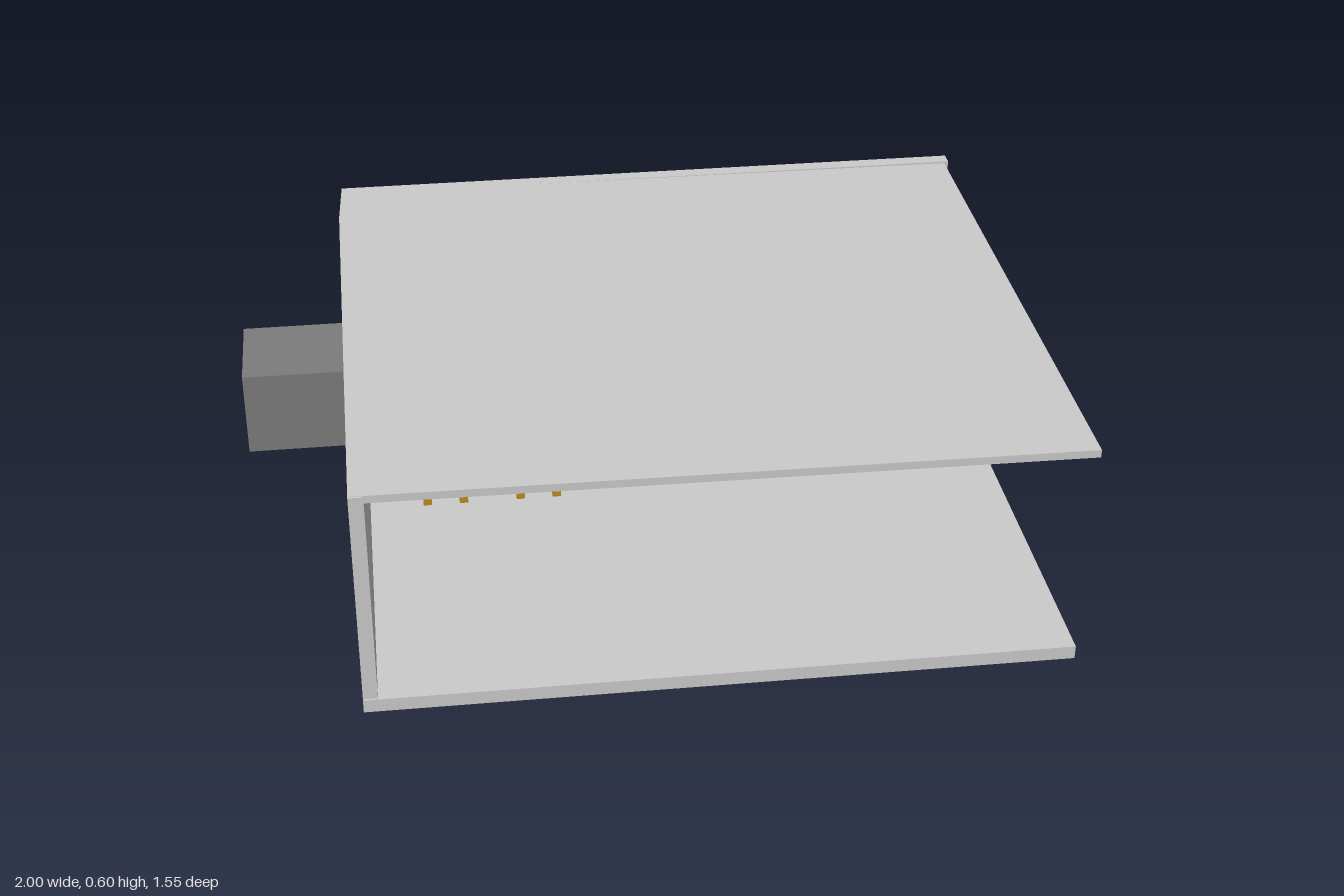
import * as THREE from 'three';

const mats = {};
const mat = (c) => (mats[c] ??= new THREE.MeshStandardMaterial({ color: c, side: THREE.DoubleSide }));
const GREY = 0xcccccc, DARK = 0x7c7c7c, BLACK = 0x111111, RED = 0xd01018, GOLD = 0xc08a1a;

function add(parent, name, geo, color) {
  const m = new THREE.Mesh(geo, mat(color));
  m.name = name;
  parent.add(m);
  return m;
}

// Box given by its limits on each axis
function box(parent, name, color, x0, x1, y0, y1, z0, z1) {
  const m = add(parent, name, new THREE.BoxGeometry(x1 - x0, y1 - y0, z1 - z0), color);
  m.position.set((x0 + x1) / 2, (y0 + y1) / 2, (z0 + z1) / 2);
  return m;
}

// Upright prism over a plan outline of [x, z] points
function slab(parent, name, color, pts, y0, y1) {
  const shape = new THREE.Shape(pts.map(([x, z]) => new THREE.Vector2(x, -z)));
  const geo = new THREE.ExtrudeGeometry(shape, { depth: y1 - y0, bevelEnabled: false });
  geo.rotateX(-Math.PI / 2).translate(0, y0, 0);
  return add(parent, name, geo, color);
}

function group(parent, name, x = 0, y = 0, z = 0) {
  const g = new THREE.Group();
  g.name = name;
  g.position.set(x, y, z);
  parent.add(g);
  return g;
}

// Straight pipes with ball joints at the bends
function pipe(parent, name, pts, r) {
  const v = pts.map((p) => new THREE.Vector3(...p));
  for (let i = 0; i < v.length - 1; i++) {
    const d = v[i + 1].clone().sub(v[i]);
    const m = add(parent, name, new THREE.CylinderGeometry(r, r, d.length(), 12), BLACK);
    m.position.copy(v[i]).addScaledVector(d, 0.5);
    m.quaternion.setFromUnitVectors(new THREE.Vector3(0, 1, 0), d.normalize());
    if (i) add(parent, name + 'Joint', new THREE.SphereGeometry(r, 12, 8), BLACK).position.copy(v[i]);
  }
}

function addShell(root) {
  const g = group(root, 'room');
  slab(g, 'floor', GREY, [[-0.72, 0.765], [0.985, 0.77], [0.985, -0.745], [-0.7, -0.745]], 0, 0.035);
  slab(g, 'roof', GREY, [[-0.72, 0.755], [0.985, 0.775], [0.985, -0.728], [-0.7, -0.742]], 0.58, 0.6);
  slab(g, 'sideWall', GREY, [[-0.72, 0.76], [-0.685, 0.76], [-0.675, -0.742], [-0.705, -0.78], [-0.715, -0.6]], 0, 0.599);
  box(g, 'backWall', GREY, -0.705, 1, 0, 0.598, -0.78, -0.742);
}

// Ceiling lights: shallow trays with long louvres
function addLights(root) {
  for (const x of [-0.365, 0.077, 0.46]) for (const z of [0.262, -0.14, -0.51]) {
    const g = group(root, 'ceilingLight', x, 0.565, z);
    box(g, 'lightBack', DARK, -0.134, 0.134, 0.01, 0.016, -0.065, 0.065);
    for (const s of [-1, 1]) {
      box(g, 'lightEnd', GREY, s * 0.13 - 0.004, s * 0.13 + 0.004, 0, 0.015, -0.065, 0.065);
      box(g, 'lightSide', GREY, -0.134, 0.134, 0, 0.015, s * 0.061 - 0.004, s * 0.061 + 0.004);
    }
    for (const dz of [-0.03, 0, 0.03])
      box(g, 'louvre', GREY, -0.13, 0.13, 0.002, 0.012, dz - 0.006, dz + 0.006);
  }
}

// Doorway tunnel through the side wall, with a windowed door
function addDoorway(root) {
  const g = group(root, 'doorway');
  box(g, 'tunnelTop', DARK, -1, -0.59, 0.248, 0.26, -0.625, -0.36);
  box(g, 'tunnelBase', DARK, -1, -0.59, 0.025, 0.038, -0.625, -0.36);
  box(g, 'tunnelEnd', DARK, -1, -0.99, 0.025, 0.26, -0.625, -0.36);
  for (const z of [-0.625, -0.372]) {
    box(g, 'tunnelSide', DARK, -1, -0.59, 0.025, 0.26, z, z + 0.012);
  }
  for (const z of [-0.614, -0.38])
    box(g, 'doorTrack', BLACK, -0.615, -0.594, 0.038, 0.25, z, z + 0.009);
  for (let i = 0; i < 3; i++) {
    const z = -0.606 + i * 0.077;
    box(g, 'doorWindow', 0xc8c86a, -0.61, -0.605, 0.19, 0.248, z, z + 0.071);
    if (i) box(g, 'windowBar', BLACK, -0.612, -0.6, 0.19, 0.248, z - 0.006, z);
  }
  box(g, 'windowSill', BLACK, -0.612, -0.598, 0.18, 0.19, -0.61, -0.375);
  box(g, 'doorPanel', 0xa0a0a0, -0.615, -0.608, 0.038, 0.18, -0.61, -0.375);
  for (const y of [0.105, 0.12])
    box(g, 'doorSeam', BLACK, -0.61, -0.604, y - 0.003, y + 0.003, -0.606, -0.38);
}

// Lift post with a long tapering arm pair and a cap
function addLiftPost(root, x) {
  const g = group(root, 'liftPost', x, 0, -0.038);
  box(g, 'post', GOLD, -0.011, 0.011, 0.035, 0.185, -0.013, 0.013);
  const arm = new THREE.Shape([
    [-0.13, 0.179], [-0.1, 0.177], [0.1, 0.177], [0.13, 0.179],
    [0.13, 0.186], [0.085, 0.195], [-0.085, 0.195], [-0.13, 0.186],
  ].map((p) => new THREE.Vector2(...p)));
  const geo = new THREE.ExtrudeGeometry(arm, { depth: 0.052, bevelEnabled: false });
  geo.translate(0, 0, -0.026).rotateY(Math.PI / 2);
  add(g, 'liftArm', geo, GOLD);
}

// Rack with two rows of tyres, axle along local x
function addTyreRack(root, x, z, turn) {
  const g = group(root, 'tyreRack', x, 0, z);
  g.rotation.y = turn;
  for (const s of [-1, 1]) {
    for (const dz of [-0.022, 0.022])
      box(g, 'rackPost', RED, s * 0.041 - 0.003, s * 0.041 + 0.003, 0.035, 0.15, dz - 0.003, dz + 0.003);
    for (const y of [0.055, 0.115])
      box(g, 'rackBrace', RED, s * 0.041 - 0.002, s * 0.041 + 0.002, y - 0.003, y + 0.003, -0.022, 0.022);
  }
  for (const y of [0.055, 0.115]) for (const dz of [-0.022, 0.022])
    box(g, 'rackRail', RED, -0.042, 0.042, y - 0.002, y + 0.002, dz - 0.002, dz + 0.002);
  const profile = [[0.014, -0.009], [0.026, -0.011], [0.031, -0.007], [0.031, 0.007], [0.026, 0.011], [0.014, 0.009], [0.014, -0.009]];
  const tyre = new THREE.LatheGeometry(profile.map((p) => new THREE.Vector2(...p)), 24).rotateZ(Math.PI / 2);
  const hub = new THREE.CylinderGeometry(0.015, 0.015, 0.012, 16).rotateZ(Math.PI / 2);
  for (const y of [0.074, 0.134]) for (const dx of [-0.024, 0, 0.024]) {
    add(g, 'tyre', tyre, BLACK).position.set(dx, y, 0);
    add(g, 'hub', hub, 0x303030).position.set(dx, y, 0);
  }
}

// Drawer bench with a small tool case on top
function addBench(root) {
  const g = group(root, 'drawerBench');
  box(g, 'benchBody', RED, -0.462, -0.183, 0.04, 0.108, -0.738, -0.665);
  box(g, 'benchTop', BLACK, -0.468, -0.178, 0.108, 0.12, -0.74, -0.66);
  for (let i = 0; i < 5; i++) for (let j = 0; j < 3; j++) {
    const x = -0.434 + i * 0.056, y = 0.058 + j * 0.02;
    box(g, 'drawerHandle', BLACK, x - 0.019, x + 0.019, y - 0.004, y + 0.004, -0.666, -0.66);
  }
  const c = group(root, 'toolCase');
  box(c, 'caseBody', BLACK, -0.31, -0.205, 0.12, 0.136, -0.725, -0.68);
  box(c, 'caseLid', 0xc8b020, -0.306, -0.209, 0.136, 0.145, -0.722, -0.683);
  box(c, 'caseHandle', BLACK, -0.28, -0.235, 0.145, 0.152, -0.707, -0.698);
}

// Framed tool board with hanging spanners and smaller tools
function addToolBoard(root) {
  const g = group(root, 'toolBoard', -0.305, 0.245, -0.738);
  box(g, 'board', BLACK, -0.15, 0.15, -0.062, 0.062, -0.003, 0.002);
  for (const s of [-1, 1]) {
    box(g, 'frameRail', 0xc88a3a, -0.16, 0.16, s * 0.064 - 0.006, s * 0.064 + 0.006, -0.004, 0.008);
    box(g, 'frameStile', 0xc88a3a, s * 0.152 - 0.008, s * 0.152 + 0.008, -0.07, 0.07, -0.004, 0.008);
  }
  for (const [x, len, tilt] of [[-0.105, 0.075, 0.4], [-0.075, 0.06, 0.3], [0.005, 0.08, 0], [0.03, 0.065, -0.15]]) {
    const t = group(g, 'spanner', x, 0.005, 0.005);
    t.rotation.z = tilt;
    box(t, 'spannerShaft', GREY, -0.003, 0.003, -len / 2, len / 2, -0.002, 0.002);
    const jaw = new THREE.TorusGeometry(0.007, 0.0025, 6, 14, 4.6);
    const top = add(t, 'spannerJaw', jaw, GREY);
    top.position.y = len / 2 + 0.006;
    top.rotation.z = 2.4;
    add(t, 'spannerRing', new THREE.TorusGeometry(0.006, 0.0025, 6, 14), GREY).position.y = -len / 2 - 0.005;
  }
  for (let i = 0; i < 8; i++) {
    const x = i < 3 ? -0.05 + i * 0.017 : 0.04 + i * 0.012;
    box(g, 'smallTool', GREY, x - 0.002, x + 0.002, -0.04, -0.005 - i * 0.002, 0.002, 0.006);
  }
}

// Switch box on the side wall, feeding twin conduits along both walls
function addElectrics(root) {
  const g = group(root, 'electrics');
  box(g, 'switchBox', 0x505050, -0.685, -0.635, 0.055, 0.15, -0.215, -0.145);
  [0x30b030, 0xd0b020, RED].forEach((c, i) => {
    const z = -0.165 - i * 0.015;
    box(g, 'indicator', c, -0.636, -0.632, 0.128, 0.134, z - 0.003, z + 0.003);
  });
  for (const [z, y] of [[-0.183, 0.405], [-0.202, 0.385]])
    pipe(g, 'conduit', [[-0.67, 0.145, z], [-0.67, y, z], [-0.67, y, -0.732], [0.655, y, -0.732]], 0.01);
}

export function createModel() {
  const root = new THREE.Group();
  root.name = 'workshop';
  addShell(root);
  addLights(root);
  addDoorway(root);
  for (const x of [-0.53, -0.435, -0.285, -0.19]) addLiftPost(root, x);
  addTyreRack(root, -0.04, -0.708, 0);
  addTyreRack(root, -0.648, -0.282, Math.PI / 2);
  addBench(root);
  addToolBoard(root);
  addElectrics(root);
  return root;
}
